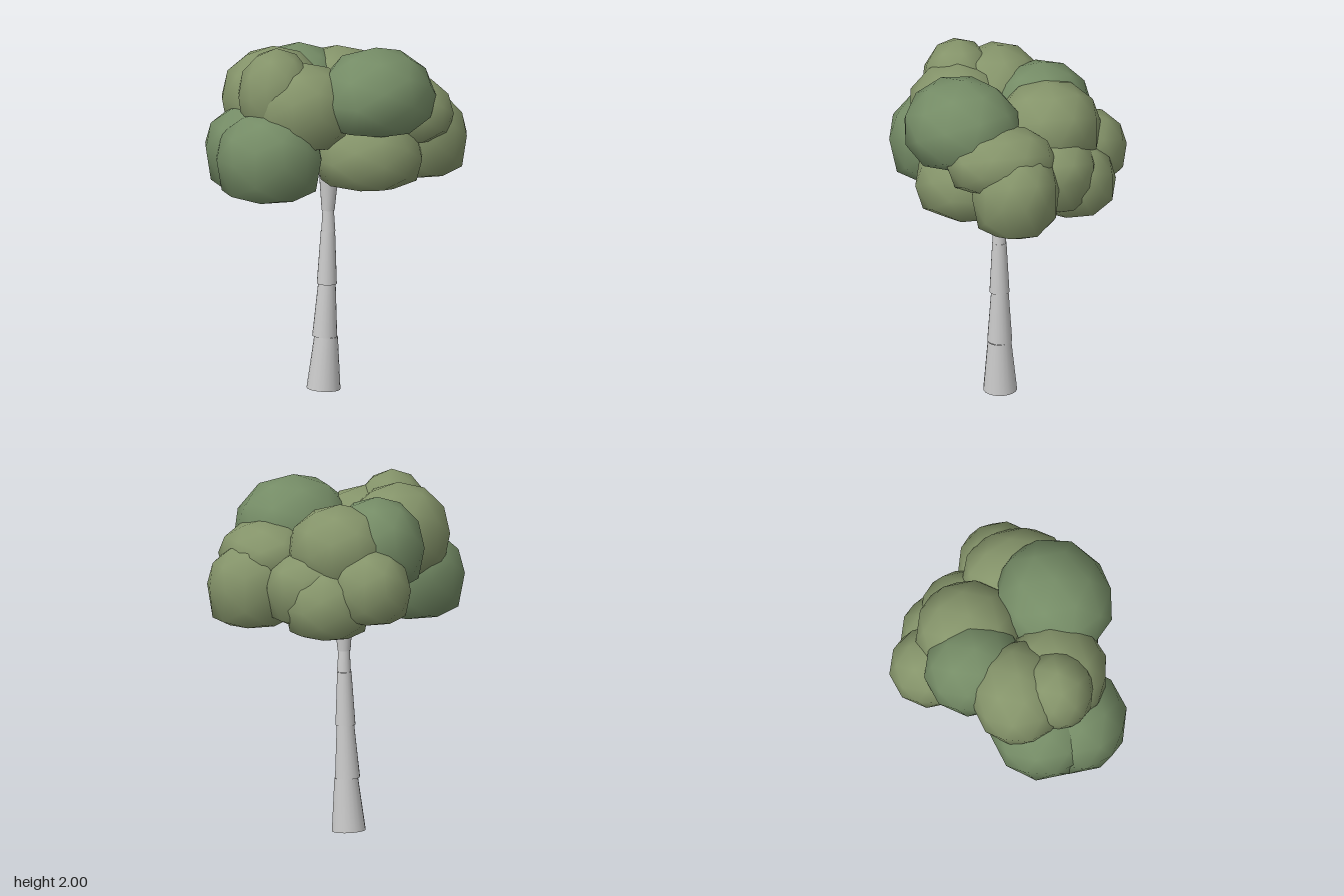
import * as THREE from 'three';
import { mergeVertices } from 'three/addons/utils/BufferGeometryUtils.js';

const material = (color) => new THREE.MeshStandardMaterial({ color, side: THREE.DoubleSide });
const bark = material(0xcccccc);
const coolLeaf = material(0x758c66);
const warmLeaf = material(0x85946a);

// Leaf clump: faceted ball cut flat and left open underneath
function leafGeometry(rx, up, down, rz) {
  let geo = new THREE.IcosahedronGeometry(1, 1);
  geo.deleteAttribute('normal');
  geo.deleteAttribute('uv');
  geo = mergeVertices(geo, 1e-3);
  const p = geo.attributes.position;
  const cut = -0.6;
  // Drop the faces that lie wholly below the cut
  const index = [];
  for (let i = 0; i < geo.index.count; i += 3) {
    const face = [0, 1, 2].map((k) => geo.index.getX(i + k));
    if (face.some((v) => p.getY(v) > cut)) index.push(...face);
  }
  geo.setIndex(index);
  for (let i = 0; i < p.count; i++) {
    const y = p.getY(i);
    const newY = y >= 0 ? y * up : (Math.max(y, cut) / -cut) * down;
    p.setXYZ(i, p.getX(i) * rx, newY, p.getZ(i) * rz);
  }
  geo.computeVertexNormals();
  return geo;
}

// Tapered round limb between two points
function limb(name, from, to, r0, r1) {
  const a = new THREE.Vector3(...from);
  const dir = new THREE.Vector3(...to).sub(a);
  const geo = new THREE.CylinderGeometry(r1, r0, dir.length(), 20, 1, true);
  const mesh = new THREE.Mesh(geo, bark);
  mesh.name = name;
  mesh.position.copy(a).addScaledVector(dir, 0.5);
  mesh.quaternion.setFromUnitVectors(new THREE.Vector3(0, 1, 0), dir.normalize());
  return mesh;
}

export function createModel() {
  const tree = new THREE.Group();
  tree.name = 'tree';

  // Trunk: stacked tapering sections, flaring at the fork
  const trunk = new THREE.Group();
  trunk.name = 'trunk';
  const sections = [
    // y0, y1, x0, x1, z0, z1, r0, r1
    [0, 0.3, -0.063, -0.05, 0.06, 0.067, 0.095, 0.066],
    [0.3, 0.6, -0.057, -0.045, 0.064, 0.066, 0.07, 0.049],
    [0.6, 0.9, -0.046, -0.04, 0.068, 0.07, 0.056, 0.04],
    [0.9, 1.02, -0.038, -0.04, 0.071, 0.073, 0.039, 0.032],
    [1.02, 1.24, -0.04, -0.036, 0.073, 0.075, 0.036, 0.056],
  ];
  for (const [y0, y1, x0, x1, z0, z1, r0, r1] of sections) {
    trunk.add(limb('trunkSection', [x0, y0, z0], [x1, y1, z1], r0, r1));
  }
  tree.add(trunk);

  // Branches rising from the fork into the crown
  const branches = new THREE.Group();
  branches.name = 'branches';
  const tips = [
    [-0.16, 1.55, 0.16], [0.06, 1.55, 0.17], [0.04, 1.55, -0.04], [-0.15, 1.55, -0.02],
  ];
  for (const tip of tips) {
    branches.add(limb('branch', [-0.036, 1.17, 0.075], tip, 0.035, 0.018));
  }
  branches.add(limb('hangingBranch', [0.22, 1.18, 0.12], [0.22, 1.45, 0.12], 0.022, 0.018));
  tree.add(branches);

  // Crown: centre x, y, z; radius x, height above, depth below, radius z; turn; colour
  const crown = new THREE.Group();
  crown.name = 'crown';
  const clumps = [
    [0.16, 1.70, 0.33, 0.355, 0.29, 0.18, 0.32, 0.45, coolLeaf],   // upper front
    [0.13, 1.36, 0.29, 0.31, 0.26, 0.16, 0.30, 0, warmLeaf],       // lower front
    [-0.46, 1.40, 0.31, 0.305, 0.27, 0.23, 0.295, 0, coolLeaf],    // front right low
    [-0.39, 1.73, 0.225, 0.22, 0.27, 0.2, 0.21, 0, warmLeaf],      // top right
    [-0.25, 1.65, 0.26, 0.305, 0.265, 0.21, 0.28, 0.1, warmLeaf],  // middle front right
    [-0.34, 1.68, 0.01, 0.30, 0.285, 0.22, 0.27, 0, warmLeaf],     // upper right
    [-0.13, 1.65, -0.19, 0.265, 0.28, 0.22, 0.29, 0, coolLeaf],    // upper back right
    [0.09, 1.64, -0.18, 0.295, 0.26, 0.20, 0.30, 0, warmLeaf],     // upper back
    [0.00, 1.45, -0.40, 0.23, 0.23, 0.18, 0.25, 0, warmLeaf],      // rear
    [0.21, 1.34, -0.29, 0.24, 0.24, 0.16, 0.25, 0, warmLeaf],      // lower back left
    [0.26, 1.45, -0.16, 0.26, 0.20, 0.21, 0.26, 0, warmLeaf],      // middle back left
    [0.40, 1.58, 0.16, 0.255, 0.20, 0.15, 0.31, 0, warmLeaf],      // upper left
    [0.50, 1.425, 0.10, 0.26, 0.25, 0.22, 0.25, 0, warmLeaf],      // lower left
    [-0.47, 1.43, 0.125, 0.30, 0.25, 0.24, 0.30, 0, coolLeaf],     // lower right
  ];
  for (const [x, y, z, rx, up, down, rz, turn, leaf] of clumps) {
    const mesh = new THREE.Mesh(leafGeometry(rx, up, down, rz), leaf);
    mesh.name = 'leafClump';
    mesh.position.set(x, y, z);
    mesh.rotation.y = turn;
    crown.add(mesh);
  }
  tree.add(crown);
  return tree;
}
